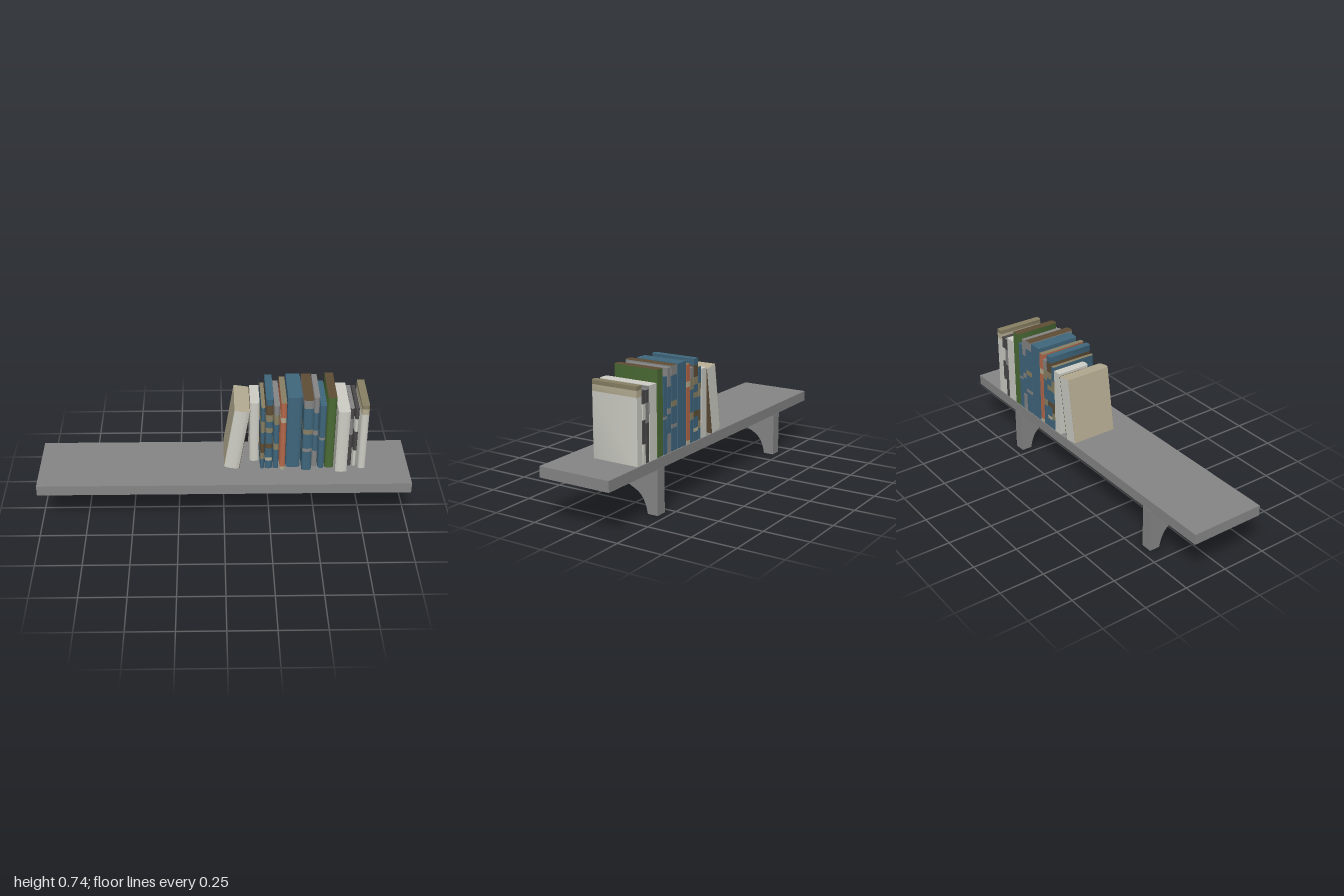
import * as THREE from 'three';
import { toCreasedNormals } from 'three/addons/utils/BufferGeometryUtils.js';

const colours = {
  grey: 0x858585, cream: 0xcdcdc5, tan: 0xb5ac92, darkTan: 0x888064, blue: 0x3f667c,
  orange: 0xb5694b, green: 0x4a6a34, brown: 0x5f4d35, darkGrey: 0x4a4848,
};
const BASE = 0.3, BACK = -0.205;

export function createModel() {
  const mat = {};
  for (const [name, hex] of Object.entries(colours)) {
    mat[name] = new THREE.MeshStandardMaterial({ color: hex });
    mat[name].name = name;
  }
  const model = new THREE.Group();
  model.name = 'bookShelf';

  const box = (parent, name, m, x0, x1, y0, y1, z0, z1) => {
    const mesh = new THREE.Mesh(new THREE.BoxGeometry(x1 - x0, y1 - y0, z1 - z0), mat[m]);
    mesh.position.set((x0 + x1) / 2, (y0 + y1) / 2, (z0 + z1) / 2);
    mesh.name = name;
    parent.add(mesh);
  };

  // Plank
  box(model, 'shelfBoard', 'grey', -1, 1, 0.24, 0.298, -0.207, 0.207);

  // Brackets with an S-curved front edge, drawn in the z-y plane
  const profile = new THREE.Shape();
  profile.moveTo(-0.209, 0);
  profile.lineTo(-0.15, 0);
  profile.bezierCurveTo(-0.142, 0.045, -0.128, 0.082, -0.1, 0.104);
  profile.bezierCurveTo(-0.07, 0.128, -0.03, 0.138, 0, 0.157);
  profile.bezierCurveTo(0.045, 0.18, 0.068, 0.208, 0.08, 0.24);
  profile.lineTo(-0.209, 0.24);
  for (const right of [-0.6, 0.604]) {
    const geo = new THREE.ExtrudeGeometry(profile, { depth: 0.064, bevelEnabled: false, curveSegments: 8 });
    geo.rotateY(-Math.PI / 2);
    const bracket = new THREE.Mesh(toCreasedNormals(geo, 0.6), mat.grey);
    bracket.position.x = right;
    bracket.name = 'bracket';
    model.add(bracket);
  }

  // Book with a rounded spine, stacked from colour bands [top of band, colour]
  function book(name, x0, x1, zFront, topColour, bands, base = BASE) {
    const group = new THREE.Group();
    group.name = name;
    const bulge = 0.011;
    const outline = new THREE.Shape();
    outline.moveTo(x0, -BACK);
    outline.lineTo(x0, -zFront + bulge);
    outline.bezierCurveTo(x0 + 0.004, -zFront - 0.002, x1 - 0.004, -zFront - 0.002, x1, -zFront + bulge);
    outline.lineTo(x1, -BACK);
    let y = base;
    bands.forEach(([top, colour], i) => {
      const geo = new THREE.ExtrudeGeometry(outline, { depth: top - y, bevelEnabled: false, curveSegments: 6 });
      geo.rotateX(-Math.PI / 2);
      const cap = i === bands.length - 1 ? topColour : colour;
      const mesh = new THREE.Mesh(toCreasedNormals(geo, 0.7), [mat[cap], mat[colour]]);
      mesh.position.y = y;
      mesh.name = 'bookBand';
      group.add(mesh);
      y = top;
    });
    model.add(group);
    return group;
  }

  // Leaning book with coloured covers
  const leaning = book('leaningBook', 0, 0.08, 0.062, 'tan', [[0.364, 'cream']], 0);
  box(leaning, 'leftCover', 'tan', -0.002, 0.001, 0, 0.364, BACK, 0.05);
  box(leaning, 'rightCover', 'brown', 0.079, 0.082, 0, 0.364, BACK, 0.05);
  leaning.position.set(0.002, 0.311, 0);
  leaning.rotation.z = -0.152;

  // Upright books: left, right, spine z, top colour, bands
  const books = [
    [0.14, 0.19, -0.012, 'cream', [[0.67, 'cream']]],
    [0.196, 0.217, 0.06, 'darkTan', [[0.36, 'blue'], [0.4, 'darkTan'], [0.46, 'brown'], [0.53, 'blue'], [0.6, 'darkTan'], [0.685, 'blue']]],
    [0.221, 0.26, 0.06, 'blue', [[0.35, 'blue'], [0.37, 'tan'], [0.43, 'blue'], [0.46, 'brown'], [0.53, 'blue'],
      [0.56, 'darkTan'], [0.6, 'blue'], [0.64, 'darkTan'], [0.7, 'brown'], [0.735, 'blue']]],
    [0.265, 0.294, 0.06, 'grey', [[0.42, 'blue'], [0.46, 'darkTan'], [0.58, 'blue'], [0.64, 'darkTan'], [0.695, 'grey']]],
    [0.3, 0.33, 0.072, 'darkTan', [[0.32, 'tan'], [0.6, 'orange'], [0.63, 'tan'], [0.72, 'orange']]],
    [0.335, 0.411, 0.05, 'blue', [[0.74, 'blue']]],
    [0.419, 0.47, 0.08, 'brown', [[0.42, 'blue'], [0.44, 'grey'], [0.53, 'blue'], [0.56, 'darkTan'], [0.69, 'blue'], [0.74, 'grey']]],
    [0.475, 0.504, 0.042, 'grey', [[0.4, 'grey'], [0.5, 'blue'], [0.53, 'grey'], [0.64, 'blue'], [0.735, 'grey']]],
    [0.508, 0.541, 0.06, 'blue', [[0.48, 'blue'], [0.495, 'grey'], [0.695, 'blue']]],
    [0.546, 0.592, 0.058, 'brown', [[0.744, 'green']]],
    [0.599, 0.662, 0.098, 'cream', [[0.68, 'cream']]],
    [0.667, 0.69, 0.04, 'grey', [[0.5, 'darkGrey'], [0.6, 'grey'], [0.665, 'darkGrey']]],
    [0.696, 0.716, 0.042, 'darkGrey', [[0.4, 'cream'], [0.52, 'darkGrey'], [0.6, 'cream'], [0.665, 'darkGrey']]],
    [0.725, 0.765, 0.067, 'darkTan', [[0.642, 'cream'], [0.676, 'tan'], [0.697, 'darkTan']]],
  ];
  books.forEach((b, i) => book('book' + (i + 1), ...b));

  // Printed panel on the right cover of the wide pale book
  box(model, 'coverPanel', 'grey', 0.661, 0.6635, 0.54, 0.678, BACK, 0.086);

  return model;
}
